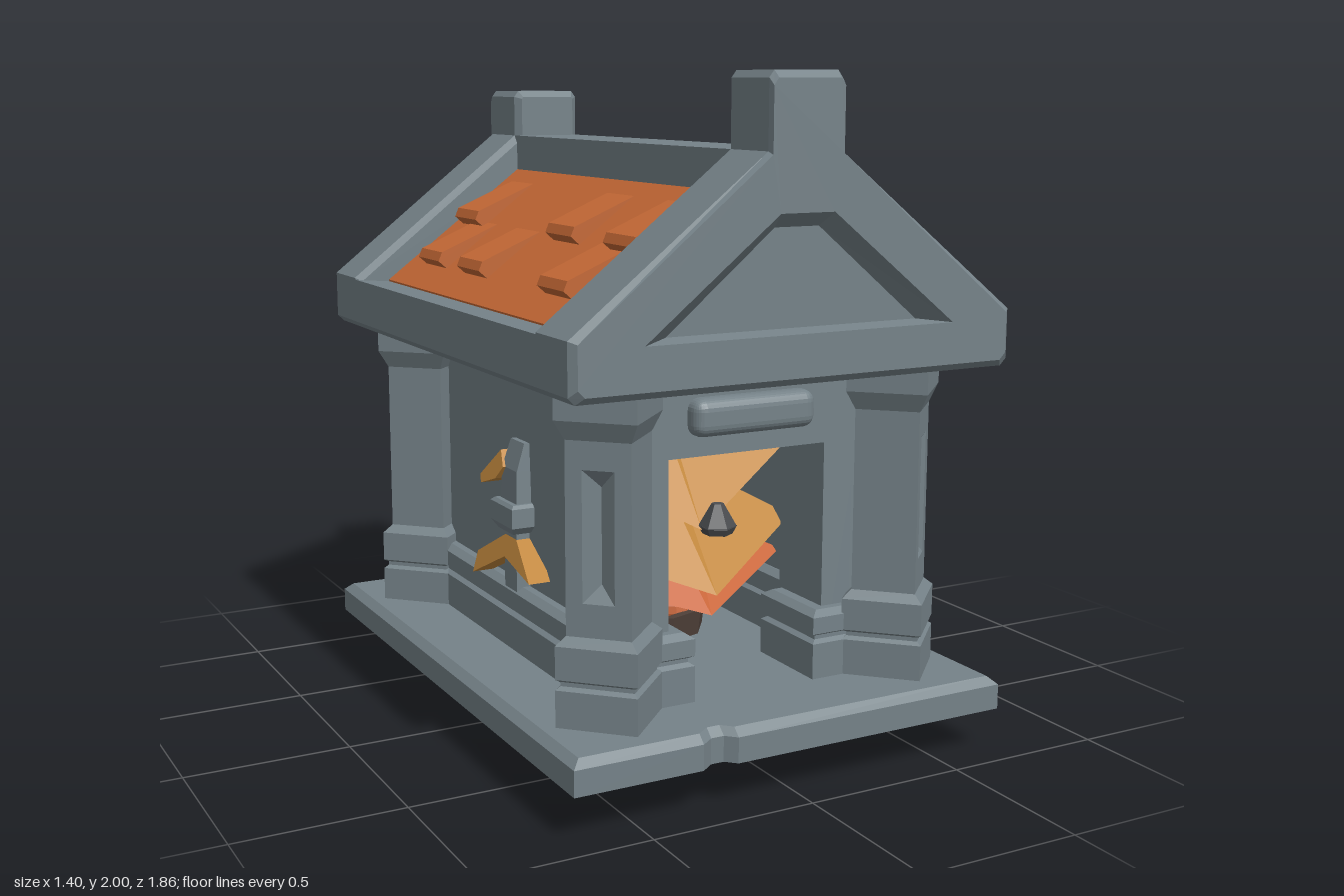
import * as THREE from 'three';
import { RoundedBoxGeometry } from 'three/addons/geometries/RoundedBoxGeometry.js';

const mat = (name, color, extra = {}) => Object.assign(new THREE.MeshStandardMaterial({ color, flatShading: true, ...extra }), { name });

// Skin closed rings (counter-clockwise seen from the last ring) with optional fan caps
function loft(rings, caps = true, skip = () => false) {
  const p = [];
  const tri = (...v) => v.forEach(q => p.push(q.x, q.y, q.z));
  const n = rings[0].length;
  for (let i = 0; i < rings.length - 1; i++) {
    for (let j = 0; j < n; j++) {
      if (skip(i, j)) continue;
      const k = (j + 1) % n, a = rings[i][j], b = rings[i][k], c = rings[i + 1][k], d = rings[i + 1][j];
      tri(a, b, c);
      tri(a, c, d);
    }
  }
  if (caps) {
    const mid = r => r.reduce((s, q) => s.add(q), new THREE.Vector3()).divideScalar(n);
    const lo = rings[0], hi = rings[rings.length - 1], cl = mid(lo), ch = mid(hi);
    for (let j = 0; j < n; j++) {
      const k = (j + 1) % n;
      tri(cl, lo[k], lo[j]);
      tri(ch, hi[j], hi[k]);
    }
  }
  const g = new THREE.BufferGeometry();
  g.setAttribute('position', new THREE.Float32BufferAttribute(p, 3));
  g.computeVertexNormals();
  return g;
}
const v3 = (x, y, z) => new THREE.Vector3(x, y, z);
const rect = (hx, y, hz) => [v3(-hx, y, hz), v3(hx, y, hz), v3(hx, y, -hz), v3(-hx, y, -hz)];
const diamond = (r, y) => [v3(0, y, r), v3(r, y, 0), v3(0, y, -r), v3(-r, y, 0)];
const vec2 = pts => pts.map(([x, y]) => new THREE.Vector2(x, y));
const poly = pts => new THREE.Shape(vec2(pts));
const prism = (pts, depth) => new THREE.ExtrudeGeometry(poly(pts), { depth, bevelEnabled: false });
const mirrored = half => [...half, ...half.slice().reverse().map(([x, y]) => [-x, y])];

export function createModel() {
  const root = new THREE.Group();
  const stone = mat('stone grey', 0x758288);
  const tile = mat('roof orange', 0xc46835);
  const ochre = mat('ochre', 0xc1873d, { side: THREE.DoubleSide });
  const ember = mat('red orange', 0xc9663a, { side: THREE.DoubleSide });
  const iron = mat('dark iron', 0x4b4d50);
  const wood = mat('dark wood', 0x4f4039, { side: THREE.DoubleSide });
  const rope = mat('rope tan', 0xb3905f);
  const bone = mat('pale bone', 0xcdb79c);

  const add = (name, geo, m, x = 0, y = 0, z = 0, parent = root) => {
    const o = new THREE.Mesh(geo, m);
    o.name = name;
    o.position.set(x, y, z);
    parent.add(o);
    return o;
  };
  const group = (name, turn) => {
    const g = new THREE.Group();
    g.name = name;
    g.rotation.y = turn;
    root.add(g);
    return g;
  };
  const box = (name, m, x0, x1, y0, y1, z0, z1) =>
    add(name, new THREE.BoxGeometry(x1 - x0, y1 - y0, z1 - z0), m, (x0 + x1) / 2, (y0 + y1) / 2, (z0 + z1) / 2);

  // Base slab with a chipped notch in the front and back edges
  const slab = (y, e) => {
    const x = 0.7 - e, z = 0.932 - e;
    const edge = [[-x, z], [-0.31, z], [-0.27, z - 0.03], [-0.23, z - 0.03], [-0.2, z], [x, z]];
    return [...edge, ...edge.map(([a, b]) => [-a, -b])].map(([a, b]) => v3(a, y, b));
  };
  add('baseSlab', loft([slab(0.13, 0), slab(0.205, 0), slab(0.228, 0.025)]), stone);

  // Thin side and back walls, thick front wall around an open doorway
  for (const s of [-1, 1]) {
    box('sideWall', stone, s * 0.39 - 0.03, s * 0.39 + 0.03, 0.2, 1.18, -0.64, 0.64);
    box('doorJamb', stone, s * 0.34 - 0.08, s * 0.34 + 0.08, 0.2, 1.18, 0.41, 0.64);
  }
  box('backWall', stone, -0.42, 0.42, 0.2, 1.18, -0.64, -0.58);
  box('doorLintel', stone, -0.27, 0.27, 0.93, 1.18, 0.41, 0.64);
  add('doorPlaque', new RoundedBoxGeometry(0.4, 0.11, 0.09, 3, 0.035), stone, 0, 1.045, 0.65);

  // Grooved plinth courses
  const course = [[0.22, 0], [0.335, 0], [0.345, 0.015], [0.357, 0.015], [0.365, 0], [0.415, 0], [0.432, 0.025]];
  const plinth = (x, z, hx, hz) => add('plinth', loft(course.map(([y, e]) => rect(hx - e, y, hz - e))), stone, x, 0, z);
  for (const s of [-1, 1]) {
    plinth(s * 0.4, 0, 0.07, 0.6);
    plinth(s * 0.315, 0.545, 0.115, 0.145);
  }
  plinth(0, -0.62, 0.4, 0.07);

  // Corner pillars turned 45 degrees, with a V-cut panel on the outer face
  const profile = [[0.22, 0.167], [0.335, 0.167], [0.345, 0.15], [0.357, 0.15], [0.365, 0.167], [0.46, 0.167],
    [0.485, 0.133], [1.03, 0.133], [1.085, 0.167], [1.18, 0.167]];
  const pillarGeo = loft(profile.map(([y, r]) => diamond(r, y)), true, (i, j) => i === 6 && j === 0);
  const fw = 0.133 / Math.SQRT2, pw = 0.046;
  const face = poly([[-fw, 0.485], [fw, 0.485], [fw, 1.03], [-fw, 1.03]]);
  face.holes.push(new THREE.Path(vec2([[-pw, 0.58], [-pw, 0.95], [pw, 0.95], [pw, 0.58]])));
  const faceGeo = new THREE.ShapeGeometry(face);
  const grooveGeo = loft([
    [v3(-pw, 0.58, 0), v3(pw, 0.58, 0), v3(pw, 0.95, 0), v3(-pw, 0.95, 0)],
    [v3(0, 0.63, -0.03), v3(0, 0.63, -0.03), v3(0, 0.9, -0.03), v3(0, 0.9, -0.03)],
  ], false);
  [[1, 1], [1, -1], [-1, -1], [-1, 1]].forEach(([sx, sz], i) => {
    const g = group('cornerPillar', i * Math.PI / 2);
    g.position.set(sx * 0.47, 0, sz * 0.685);
    add('pillarBody', pillarGeo, stone, 0, 0, 0, g);
    for (const geo of [faceGeo, grooveGeo]) add('pillarPanel', geo, stone, 0.0665, 0, 0.0665, g).rotation.y = Math.PI / 4;
  });

  // Gable ends with a sloped triangular recess, each rising into a square finial
  const rim = [[-0.49, 1.305], [0.49, 1.305], [0.085, 1.628], [-0.085, 1.628]];
  const floor = [[-0.4, 1.315], [0.4, 1.315], [0.07, 1.588], [-0.07, 1.588]];
  const recessGeo = loft([rim.map(([x, y]) => v3(x, y, 0.93)), floor.map(([x, y]) => v3(x, y, 0.875))], false);
  const floorGeo = new THREE.ShapeGeometry(poly(floor));
  for (const [top, turn] of [[2.0, 0], [1.94, Math.PI]]) {
    const g = group('gable', turn);
    const outline = mirrored([[0.68, 1.165], [0.7, 1.185], [0.7, 1.33], [0.115, 1.79], [0.115, top - 0.02], [0.1, top]]);
    const bevel = { bevelThickness: 0.02, bevelSize: 0.02, bevelOffset: -0.02, bevelSegments: 1 };
    add('gableBody', new THREE.ExtrudeGeometry(poly(outline), { depth: 0.13, ...bevel }), stone, 0, 0, 0.72, g);
    // Front layer carries the opening
    const front = poly(outline.map(([x, y]) => [x * 0.972, y > top - 0.03 ? y - 0.02 : y < 1.2 ? y + 0.02 : y - 0.008]));
    front.holes.push(new THREE.Path(vec2(rim.slice().reverse())));
    add('gableFace', new THREE.ShapeGeometry(front), stone, 0, 0, 0.93, g);
    const inner = front.getPoints(), outer = vec2(outline);
    add('gableEdge', loft([[outer, 0.84], [outer, 0.91], [inner, 0.93]].map(([r, z]) => r.map(q => v3(q.x, q.y, z))), false), stone, 0, 0, 0, g);
    add('gableRecess', recessGeo, stone, 0, 0, 0, g);
    add('gableRecess', floorGeo, stone, 0, 0, 0.875, g);
  }

  // Roof core with ridge beam and eaves
  const core = mirrored([[0.68, 1.165], [0.7, 1.185], [0.7, 1.325], [0.585, 1.315], [0.115, 1.668], [0.115, 1.79]]);
  add('roofCore', prism(core, 1.48), stone, 0, 0, -0.74);

  // Orange roof slopes with raised wedge tiles; the far slope is the near one turned round
  const slopeGeo = prism([[0.115, 1.66], [0.585, 1.307], [0.588, 1.321], [0.115, 1.676]], 1.4);
  const wedgeGeo = prism([[0.155, 1.643], [0.34, 1.5], [0.372, 1.528], [0.36, 1.556]], 0.175);
  for (const turn of [0, Math.PI]) {
    const g = group('roofSlope', turn);
    add('slopePanel', slopeGeo, tile, 0, 0, -0.7, g);
    for (const z of [0.55, -0.165, -0.545]) add('upperTile', wedgeGeo, tile, 0, 0, z - 0.0875, g);
    for (const z of [0.475, 0.145, -0.45]) add('lowerTile', wedgeGeo, tile, 0.16, -0.121, z - 0.0875, g);
  }

  // Wall sconces with ochre leaves on both sides, leaves flaring out towards the bottom
  const leaf = (pts, top) => {
    const geo = prism(pts, 0.07).rotateY(Math.PI / 2);
    const p = geo.attributes.position;
    for (let i = 0; i < p.count; i++) p.setX(i, p.getX(i) + (top - p.getY(i)) * 0.35);
    geo.computeVertexNormals();
    return geo;
  };
  const lowLeaf = leaf([[-0.18, 0.435], [0, 0.525], [0.21, 0.49], [0.01, 0.605], [-0.02, 0.595], [-0.19, 0.5]], 0.6);
  const highLeaf = leaf([[-0.15, 0.73], [-0.06, 0.76], [-0.03, 0.8], [-0.08, 0.845], [-0.17, 0.755]], 0.84);
  for (const turn of [0, Math.PI]) {
    const g = group('wallSconce', turn);
    add('sconceStem', new THREE.BoxGeometry(0.08, 0.22, 0.09), stone, 0.425, 0.52, 0, g);
    add('sconceCup', loft([rect(0.045, 0.605, 0.055), rect(0.06, 0.63, 0.082), rect(0.06, 0.69, 0.082), rect(0.05, 0.7, 0.07)]), stone, 0.435, 0, 0, g);
    add('sconceSpike', loft([rect(0.045, 0.7, 0.06), rect(0.04, 0.8, 0.055), rect(0.012, 0.885, 0.05)]), stone, 0.425, 0, 0, g);
    add('lowLeaf', lowLeaf, ochre, 0.39, 0, 0, g);
    add('highLeaf', highLeaf, ochre, 0.39, 0, 0, g);
  }

  // Tiered canopy inside: six-sided skirts whose alternate corners droop
  const tier = (name, m, top, low, r0, r1, droop, turn) => {
    const geo = new THREE.CylinderGeometry(r0, r1, top - low, 6, 1, true).toNonIndexed();
    const p = geo.attributes.position;
    for (let i = 0; i < p.count; i++) {
      if (p.getY(i) > 0) continue;
      p.setY(i, p.getY(i) - droop * Math.cos(3 * Math.atan2(p.getX(i), p.getZ(i))));
    }
    geo.computeVertexNormals();
    add(name, geo, m, 0, (top + low) / 2, 0).rotation.y = turn;
  };
  tier('lowerTier', ember, 0.6, 0.44, 0.15, 0.44, 0.055, 0);
  tier('middleTier', ochre, 0.8, 0.53, 0.08, 0.47, 0.075, 0);
  tier('emberTier', ember, 0.84, 0.69, 0.05, 0.3, 0.03, 0.5);
  tier('upperTier', ochre, 1.06, 0.76, 0.04, 0.46, 0.1, -0.1);
  add('smallBell', new THREE.CylinderGeometry(0.018, 0.058, 0.07, 6), iron, 0, 0.705, 0.47);
  add('bellRim', new THREE.CylinderGeometry(0.058, 0.045, 0.025, 6), iron, 0, 0.66, 0.47);
  add('bellTop', new THREE.CylinderGeometry(0.035, 0.02, 0.03, 6), iron, 0, 0.9, 0.39);

  // Wooden tub whose narrow foot passes down through the slab
  const tub = [[0, 0], [0.068, 0], [0.095, 0.13], [0.11, 0.22], [0.195, 0.23], [0.205, 0.31], [0.175, 0.31], [0.16, 0.26], [0, 0.26]];
  add('tub', new THREE.LatheGeometry(vec2(tub), 10), wood);
  for (const turn of [0, Math.PI]) {
    const g = group('ropeBand', turn);
    for (const [y, tilt] of [[0.085, 0.1], [0.105, -0.08]]) {
      const arc = new THREE.TorusGeometry(0.089, 0.008, 6, 10, 2).rotateZ(-1).rotateX(Math.PI / 2 + tilt);
      add('ropeStrand', arc, rope, 0, y, 0, g);
    }
  }
  add('post', new THREE.CylinderGeometry(0.09, 0.09, 0.5, 6), stone, 0, 0.5, -0.05);
  for (const s of [-1, 1]) add('gourd', new THREE.SphereGeometry(0.06, 10, 8), ember, s * 0.055, 0.305, 0.1);
  add('boneShard', new THREE.DodecahedronGeometry(0.05), bone, 0.16, 0.37, 0.06);
  return root;
}
